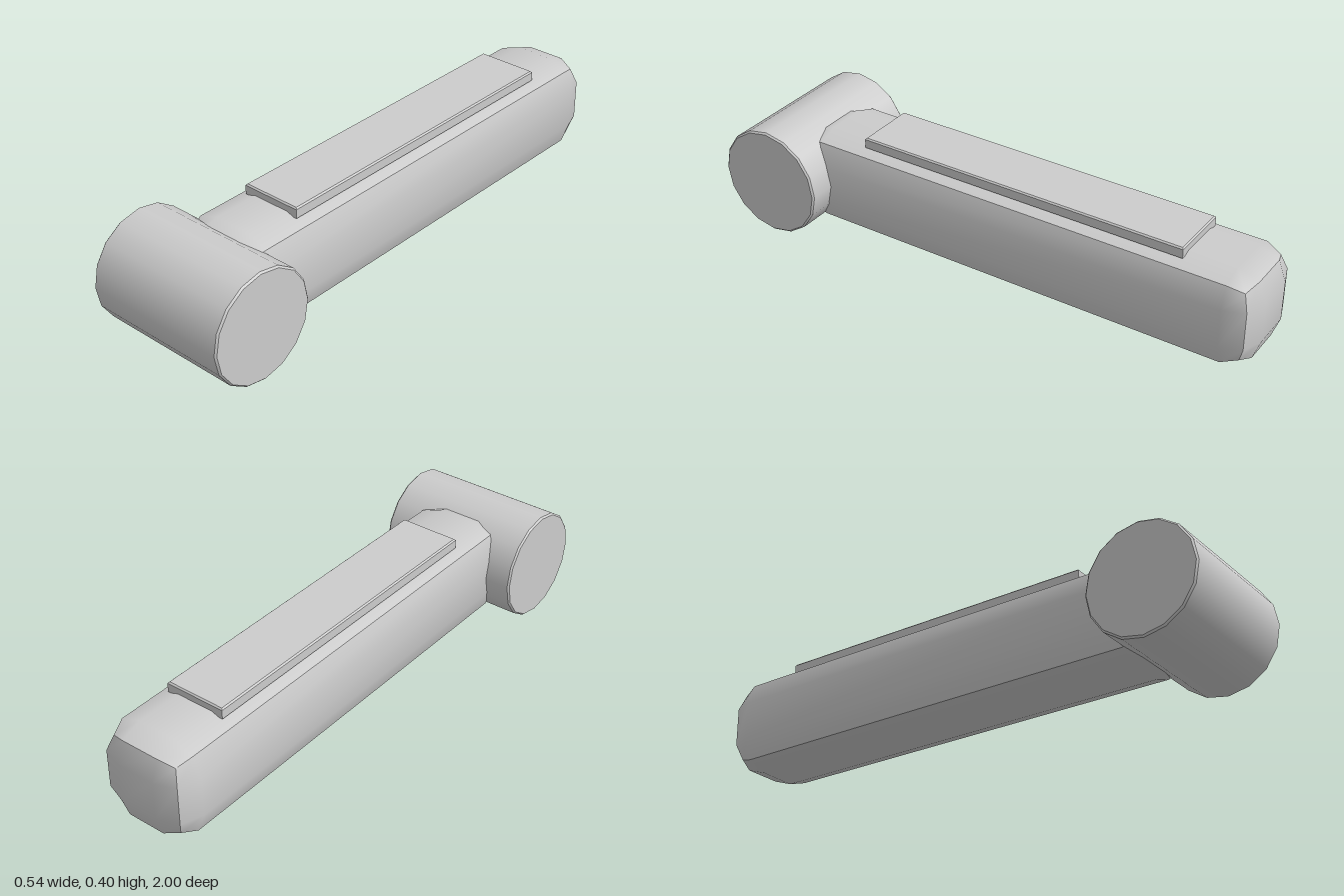
import * as THREE from 'three';

const grey = new THREE.MeshStandardMaterial({ color: 0xcccccc });
grey.name = 'light grey';

function addMesh(parent, name, geometry, x, y, z) {
  const mesh = new THREE.Mesh(geometry, grey);
  mesh.name = name;
  mesh.position.set(x, y, z);
  parent.add(mesh);
  return mesh;
}

// Long bar: a 3x3x3 box whose edges and corners are pulled in; each side stays smooth
function barGeometry() {
  const g = new THREE.BoxGeometry(2, 2, 2, 3, 3, 3);
  const p = g.attributes.position;
  const inset = [0, 0, 0.027, 0.046];
  const half = [0.172, 0.172, 0.88];
  for (let i = 0; i < p.count; i++) {
    const v = [p.getX(i), p.getY(i), p.getZ(i)];
    const outer = v.filter((c) => Math.abs(c) > 0.9).length;
    const q = v.map((c, k) =>
      Math.sign(c) * (half[k] - (Math.abs(c) > 0.9 ? inset[outer] : 0.102)));
    p.setXYZ(i, ...q);
  }
  g.computeVertexNormals();
  return g;
}

// Flat plate with a small chamfer around the upper rim
function plateGeometry(w, h, d, bevel) {
  const g = new THREE.BoxGeometry(w, h, d, 1, 2, 1);
  const p = g.attributes.position;
  for (let i = 0; i < p.count; i++) {
    const y = p.getY(i);
    if (Math.abs(y) < 1e-6) p.setY(i, h / 2 - bevel);
    else if (y > 0) {
      p.setX(i, p.getX(i) - Math.sign(p.getX(i)) * bevel);
      p.setZ(i, p.getZ(i) - Math.sign(p.getZ(i)) * bevel);
    }
  }
  const flat = g.toNonIndexed();
  flat.computeVertexNormals();
  return flat;
}

export function createModel() {
  const model = new THREE.Group();
  model.name = 'handle';

  addMesh(model, 'bar', barGeometry(), 0, 0.203, -0.12);
  addMesh(model, 'topPlate', plateGeometry(0.222, 0.037, 1.222, 0.005), 0, 0.3835, -0.12);

  // Cross cylinder at the front, with chamfered ends
  const cross = new THREE.Group();
  cross.name = 'crossCylinder';
  cross.position.set(0, 0.2, 0.803);
  model.add(cross);
  const r = 0.197, half = 0.268, c = 0.006;
  addMesh(cross, 'barrel',
    new THREE.CylinderGeometry(r, r, 2 * (half - c), 16, 1, true).rotateZ(Math.PI / 2), 0, 0, 0);
  for (const s of [-1, 1]) {
    addMesh(cross, s > 0 ? 'leftEnd' : 'rightEnd',
      new THREE.CylinderGeometry(r - c, r, c, 16).rotateZ(-s * Math.PI / 2),
      s * (half - c / 2), 0, 0);
  }
  return model;
}
